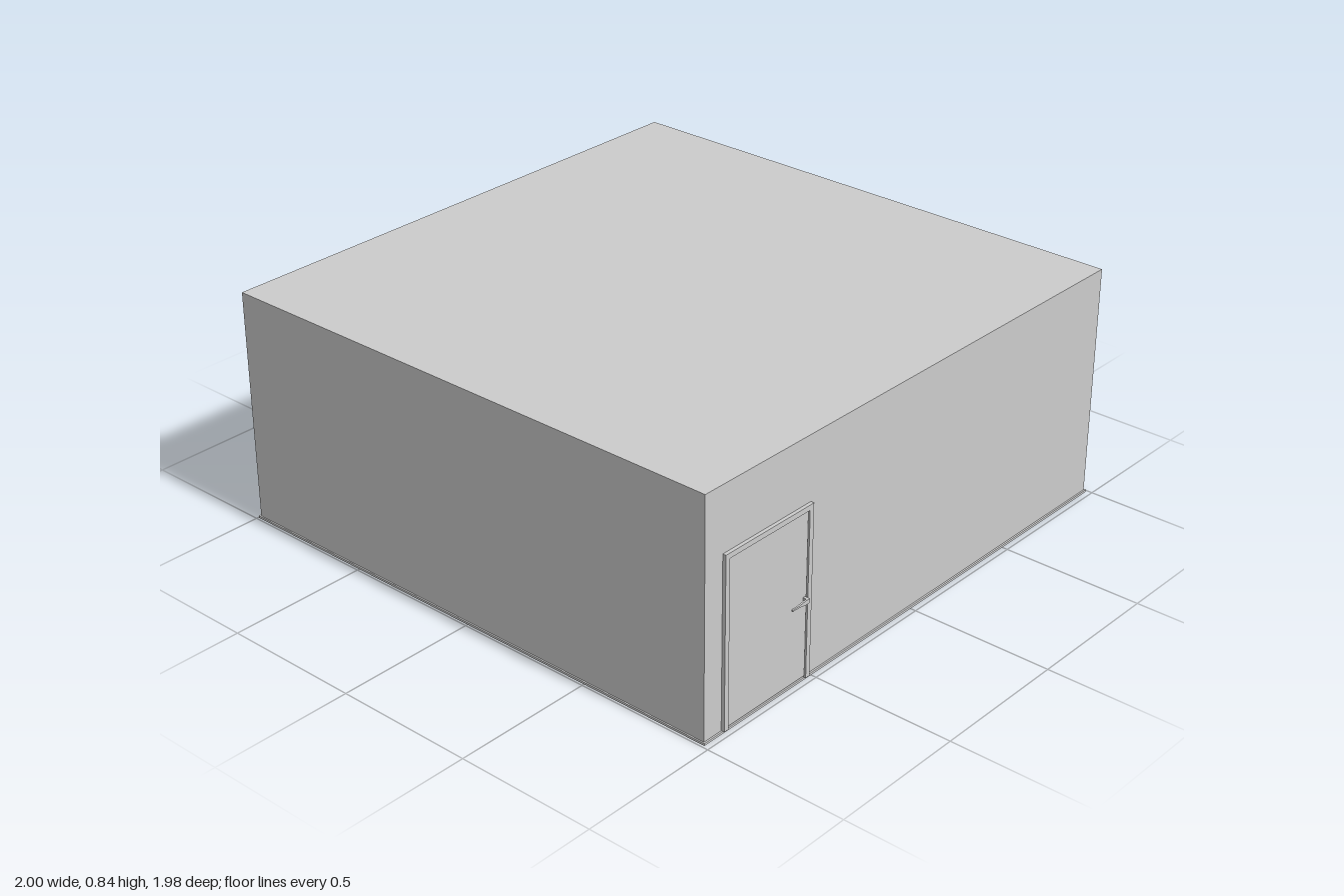
import * as THREE from 'three';

const material = new THREE.MeshStandardMaterial({ color: 0xcccccc });

// Box given by its min and max corners
function block(name, [x0, y0, z0], [x1, y1, z1]) {
  const mesh = new THREE.Mesh(new THREE.BoxGeometry(x1 - x0, y1 - y0, z1 - z0), material);
  mesh.name = name;
  mesh.position.set((x0 + x1) / 2, (y0 + y1) / 2, (z0 + z1) / 2);
  return mesh;
}

export function createModel() {
  const model = new THREE.Group();
  model.name = 'room';

  // Thin floor slab, projecting a little beyond the walls
  model.add(block('floor', [-0.997, 0, -0.992], [0.98, 0.008, 0.992]));
  // Walls and flat roof
  model.add(block('walls', [-0.99, 0.008, -0.987], [0.974, 0.835, 0.987]));

  // Door on the left side wall
  const door = new THREE.Group();
  door.name = 'door';
  const z0 = 0.515, z1 = 0.91, y0 = 0.008, y1 = 0.61, w = 0.018;
  for (const [name, z] of [['innerJamb', z0], ['cornerJamb', z1 - w]]) {
    door.add(block(name, [0.97, y0, z], [0.986, y1, z + w]));
  }
  door.add(block('doorHead', [0.97, y1 - w, z0 + w], [0.986, y1, z1 - w]));
  door.add(block('doorLeaf', [0.97, y0 + 0.008, z0 + w + 0.003], [0.982, y1 - w, z1 - w]));

  // Lever handle: stem through the leaf and a tapering grip
  const handle = new THREE.Group();
  handle.name = 'handle';
  handle.add(block('handleStem', [0.98, 0.285, 0.541], [0.996, 0.3, 0.551]));
  const outline = new THREE.Shape([
    [0.541, 0.285], [0.541, 0.3], [0.56, 0.3], [0.59, 0.296],
    [0.62, 0.296], [0.62, 0.29], [0.59, 0.29], [0.56, 0.285],
  ].map(([z, y]) => new THREE.Vector2(-z, y)));
  const grip = new THREE.Mesh(
    new THREE.ExtrudeGeometry(outline, { depth: 0.006, bevelEnabled: false }), material);
  grip.name = 'handleGrip';
  grip.rotation.y = Math.PI / 2;
  grip.position.x = 0.994;
  handle.add(grip);
  door.add(handle);

  model.add(door);
  return model;
}
